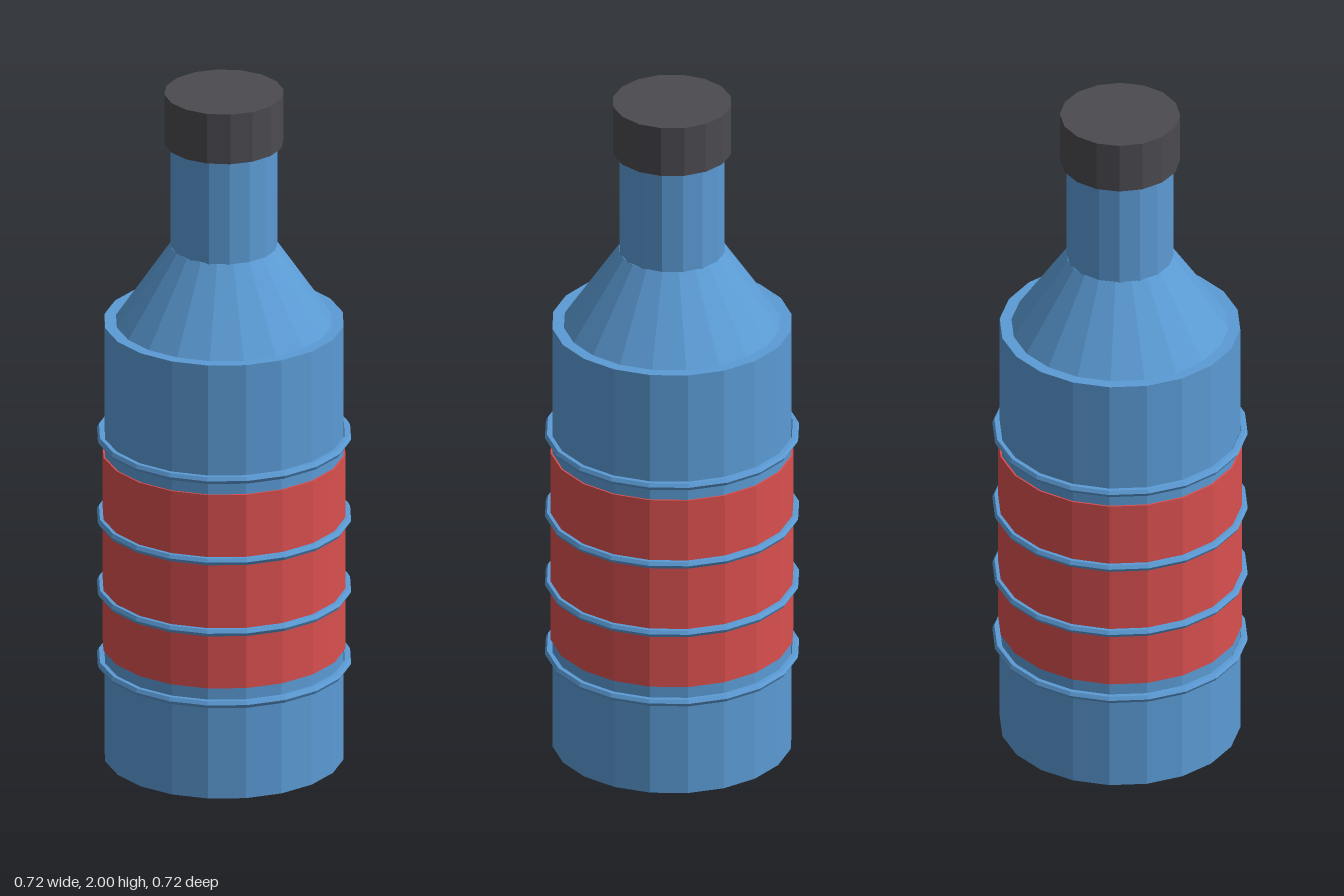
import * as THREE from 'three';

const paint = (color) => new THREE.MeshStandardMaterial({ color, flatShading: true });

export function createModel() {
  const bottle = new THREE.Group();
  bottle.name = 'bottle';
  const blue = paint(0x5b9bd5);
  const red = paint(0xd94f4f);
  const dark = paint(0x4a4a50);

  // upright round part between two heights
  const round = (name, rTop, rBottom, y0, y1, sides, material) => {
    const mesh = new THREE.Mesh(new THREE.CylinderGeometry(rTop, rBottom, y1 - y0, sides), material);
    mesh.position.y = (y0 + y1) / 2;
    mesh.name = name;
    bottle.add(mesh);
  };

  round('body', 0.338, 0.338, 0, 1.31, 20, blue);
  round('label', 0.343, 0.343, 0.335, 0.92, 20, red);
  round('shoulder', 0.15, 0.305, 1.31, 1.54, 20, blue);
  round('neck', 0.15, 0.15, 1.53, 1.86, 16, blue);
  round('cap', 0.168, 0.168, 1.85, 2, 16, dark);

  // thin raised grip rings around the body
  const ringGeometry = new THREE.TorusGeometry(0.347, 0.012, 6, 20).rotateX(Math.PI / 2);
  [0.29, 0.507, 0.722, 0.968].forEach((y, i) => {
    const ring = new THREE.Mesh(ringGeometry, blue);
    ring.position.y = y;
    ring.name = `gripRing${i + 1}`;
    bottle.add(ring);
  });

  return bottle;
}
